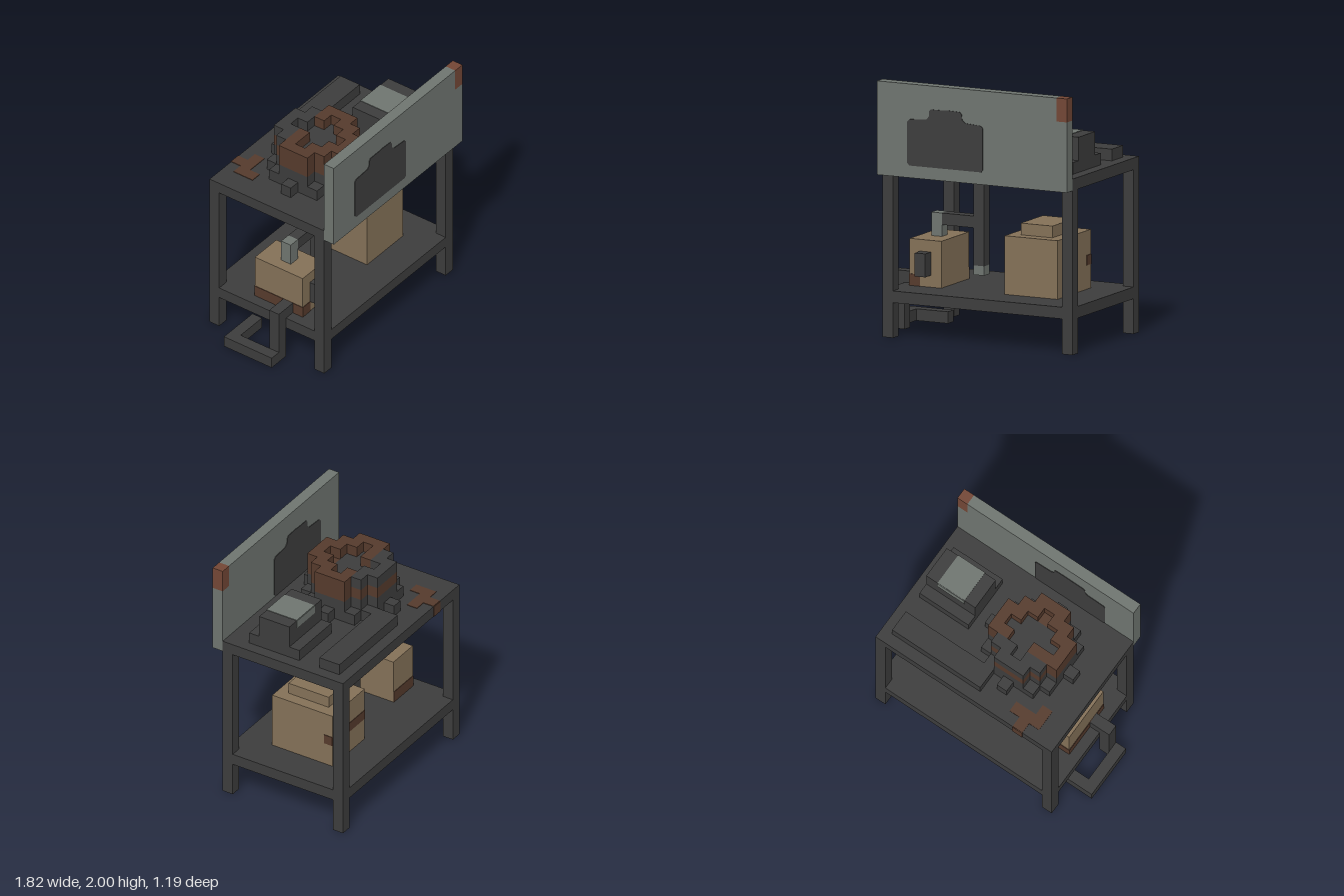
import * as THREE from 'three';

const U = 1 / 11; // one grid cell
const T = 0.05;   // thickness of painted plates, in cells

const paint = (name, hex) => {
  const m = new THREE.MeshStandardMaterial({ color: hex });
  m.name = name;
  return m;
};

export function createModel() {
  const dark = paint('dark metal', 0x3c3c3c);
  const grey = paint('grey metal', 0x6e746f);
  const tan = paint('tan cardboard', 0x837057);
  const brown = paint('brown rust', 0x553a2c);
  const rust = paint('red rust', 0x724635);

  const model = new THREE.Group();
  model.name = 'workTable';
  const group = (name) => {
    const g = new THREE.Group();
    g.name = name;
    model.add(g);
    return g;
  };
  // Box given by its limits in cells
  const box = (parent, name, mat, x0, x1, y0, y1, z0, z1) => {
    const m = new THREE.Mesh(new THREE.BoxGeometry((x1 - x0) * U, (y1 - y0) * U, (z1 - z0) * U), mat);
    m.position.set((x0 + x1) / 2 * U, (y0 + y1) / 2 * U, (z0 + z1) / 2 * U);
    m.name = name;
    parent.add(m);
    return m;
  };

  // Table frame
  const table = group('table');
  box(table, 'tableTop', dark, -8, 10, 14, 15, -6.5, 5.5);
  box(table, 'shelf', dark, -8, 10, 3, 4, -6.5, 5.5);
  for (const x of [-8, 9]) for (const z of [-6.5, 4.5]) box(table, 'leg', dark, x, x + 1, 0, 14, z, z + 1);

  // Rust patch on both sides of the table top and over its back edge
  for (const y of [15, 14 - T]) {
    box(table, 'rustPatch', brown, -5, -4, y, y + T, -6.5, -5.5);
    box(table, 'rustPatch', brown, -6, -3, y, y + T, -5.5, -4.5);
    box(table, 'rustPatch', brown, -6, -5, y, y + T, -4.5, -3.5);
  }
  box(table, 'rustEdge', brown, -5, -4, 14, 15, -6.5 - T, -6.5);

  // Front sign panel with a rusty corner
  const sign = group('signPanel');
  box(sign, 'panel', grey, -8, 9, 14, 22, 5.5, 6.5);
  box(sign, 'panelSide', grey, 9, 10, 14, 20, 5.5, 6.5);
  box(sign, 'rustCorner', rust, 9, 10, 20, 22, 5.5, 6.5);

  // Dark silhouette painted on both faces of the panel
  const s = new THREE.Shape([
    [-4.9, 15.05], [1.9, 15.05], [2.05, 15.25], [2.05, 18.8], [1.85, 19], [0.4, 19.1], [0.1, 19.35],
    [0.05, 19.8], [-0.1, 20], [-1.2, 20.05], [-1.7, 20], [-2.9, 20], [-3.05, 19.8], [-3.05, 19.4],
    [-3.3, 19.1], [-4.9, 19], [-5.1, 18.8], [-5.1, 15.25],
  ].map(([x, y]) => new THREE.Vector2(x * U, y * U)));
  for (const z of [5.5 - T, 6.5]) {
    const m = new THREE.Mesh(new THREE.ExtrudeGeometry(s, { depth: T * U, bevelEnabled: false }), dark);
    m.position.z = z * U;
    m.name = 'silhouette';
    sign.add(m);
  }

  // Hanging pole with side arm and spout
  const pole = group('pole');
  box(pole, 'poleShaft', dark, -2, -1, 5.8, 14, -0.5, 0.5);
  box(pole, 'poleTip', grey, -2, -1, 5, 5.8, -0.5, 0.5);
  box(pole, 'arm', dark, -5, -2, 9, 10, -0.5, 0.5);
  box(pole, 'spout', grey, -6, -5, 8, 10, -0.5, 0.5);

  // Small carton with a handle and brown band
  const small = group('smallCarton');
  box(small, 'carton', tan, -7, -4, 4, 8, -2.5, 2.5);
  box(small, 'handle', dark, -6, -5, 5, 7, 2.5, 3.5);
  box(small, 'bandSide', brown, -7 - T, -7, 4, 5, -2.5, 2.5);
  box(small, 'bandBack', brown, -7, -4, 4, 5, -2.5 - T, -2.5);
  box(small, 'bandFront', brown, -7, -6, 4, 5, 2.5, 2.5 + T);

  // Large carton with a lid and tape around the back
  const large = group('largeCarton');
  box(large, 'carton', tan, 2, 7, 4, 9, -3.5, 2.5);
  box(large, 'lid', tan, 3, 6, 9, 10, -2.5, 1.5);
  box(large, 'tapeBack', brown, 2, 7, 6.05, 6.9, -3.5 - T, -3.5);
  for (const x of [2 - T, 7]) box(large, 'tapeEnd', brown, x, x + T, 6.05, 6.9, -3.5, -2.7);

  // Foot pedal beside the left legs
  const pedal = group('pedal');
  box(pedal, 'pedalFront', dark, -10, -8, 0, 1, 0.5, 1.5);
  box(pedal, 'pedalSide', dark, -10, -9, 0, 1, -2.5, 0.5);
  box(pedal, 'pedalBack', dark, -10, -6, 0, 1, -3.5, -2.5);
  box(pedal, 'pedalPost', dark, -9, -8, 1, 5, 0.5, 1.5);
  box(pedal, 'pedalArm', dark, -8, -7, 4, 5, 0.5, 1.5);

  // Desk machine with a sheet over its top, and a low bar behind it
  const machine = group('deskMachine');
  box(machine, 'base', dark, 4, 9, 15, 16, -1.5, 3.5);
  box(machine, 'body', dark, 4, 9, 16, 18, -0.5, 2.5);
  box(machine, 'sheetTop', grey, 5.1, 7.85, 18, 18 + T, -0.5, 2.5);
  box(machine, 'sheetBack', grey, 5.1, 7.85, 17.3, 18, -0.5 - T, -0.5);
  box(machine, 'sheetFront', grey, 5.1, 7.85, 17, 18, 2.5, 2.5 + T);
  box(machine, 'rearBar', dark, 0, 9, 15, 16, -5.5, -3.5);

  // Round blocky drum, built row by row around x = -1.5
  const drum = group('drum');
  const wide = [1, 5, 7, 7, 9, 7, 7, 5, 1];
  wide.forEach((w, i) => box(drum, 'drumFoot', dark, -1.5 - w / 2, -1.5 + w / 2, 15, 16, i - 4.5, i - 3.5));
  const round = [3, 5, 7, 7, 7, 5, 3];
  const hollow = { '-2': [0], '-1': [0, 1], 0: [-2, -1, 0, 1, 2], 1: [-1, 0, 1], 2: [0] };
  round.forEach((w, i) => {
    const r = i - 3, z0 = r - 0.5, z1 = r + 0.5, h = w / 2;
    box(drum, 'drumLower', dark, -1.5 - h, -1.5 + h, 16, 17, z0, z1);
    box(drum, 'drumBand', brown, -1.5 - h, -1.5 + h, 17, 18, z0, z1);
    // Rim cells around the hollow, dark at the back
    for (let c = -(w - 1) / 2; c <= (w - 1) / 2; c++) {
      if (!(hollow[r] || []).includes(c)) {
        box(drum, 'drumRim', r < -1 ? dark : brown, c - 2, c - 1, 18, 19, z0, z1);
      } else if (r < 2) {
        box(drum, 'drumFloor', dark, c - 2, c - 1, 18, 18 + T, z0, z1);
      }
    }
  });

  return model;
}
